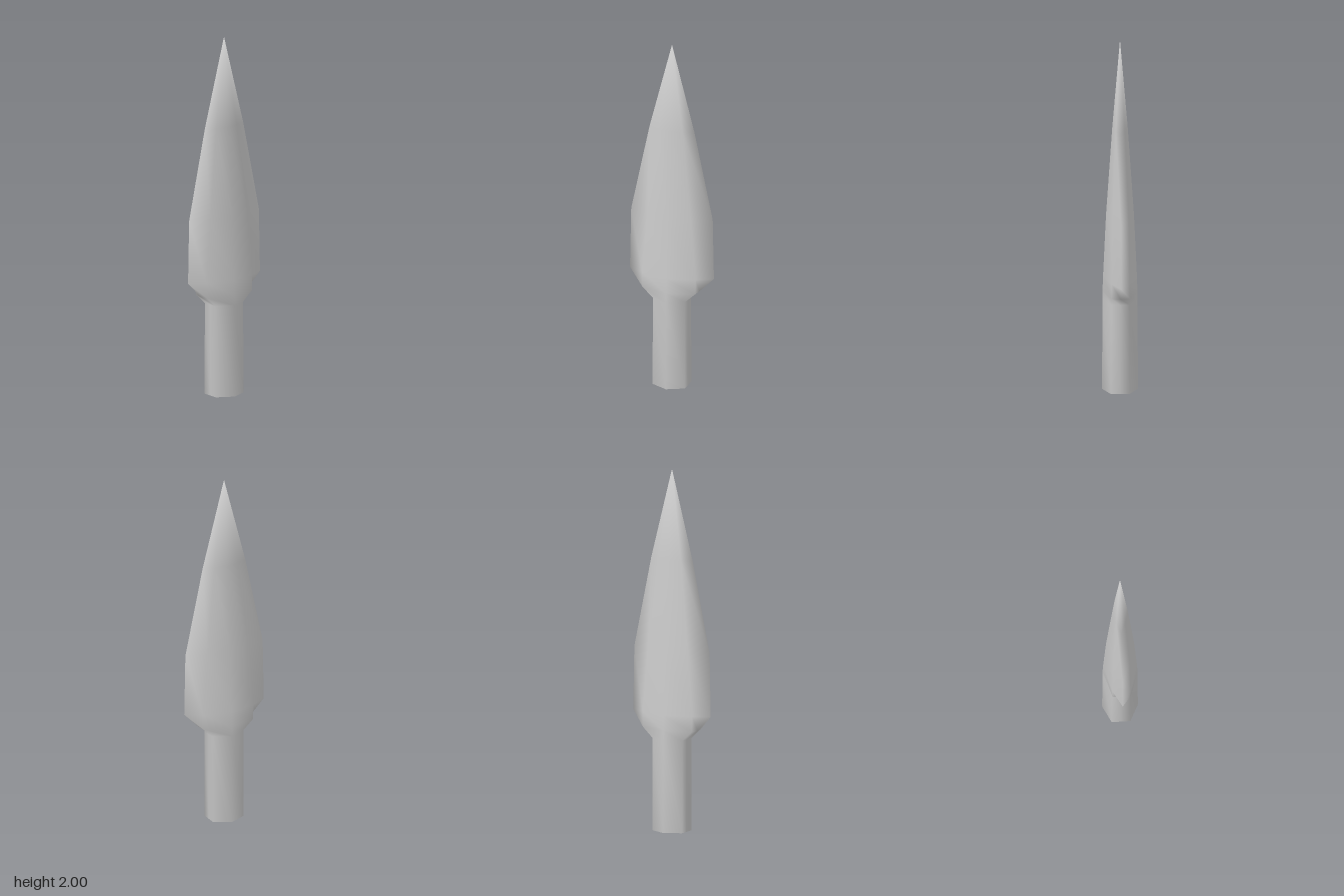
import * as THREE from 'three';

// Cross-sections from the socket base to the point:
// [y, half thickness, bevel x, bevel z, y of cutting edge, edge z]
const SECTIONS = [
  [0, 0.097, 0.051, 0.093, 0, 0.093],
  [0.51, 0.096, 0.05, 0.093, 0.51, 0.093],
  [0.565, 0.095, 0.05, 0.152, 0.565, 0.16],
  [0.65, 0.092, 0.049, 0.155, 0.65, 0.243],
  [1.0, 0.076, 0.045, 0.125, 1.0, 0.236],
  [1.5, 0.042, 0.024, 0.07, 1.5, 0.13],
];

// Eight-sided lens outline, running from +x towards +z
function ring([y, x, bx, bz, ey, ez]) {
  return [
    [x, y, 0], [bx, y, bz], [0, ey, ez], [-bx, y, bz],
    [-x, y, 0], [-bx, y, -bz], [0, ey, -ez], [bx, y, -bz],
  ];
}

function loft(sections, tipY) {
  const sides = 8;
  const points = sections.flatMap(ring);
  const base = points.push([0, sections[0][0], 0]) - 1;
  const tip = points.push([0, tipY, 0]) - 1;
  const last = (sections.length - 1) * sides;
  const index = [];
  for (let j = 0; j < sides; j++) {
    const k = (j + 1) % sides;
    // Side walls
    for (let r = 0; r < last; r += sides) {
      const a = r + j, b = r + k, c = a + sides, d = b + sides;
      index.push(a, c, d, a, d, b);
    }
    // Point and base cap
    index.push(last + j, tip, last + k);
    index.push(base, j, k);
  }
  const geometry = new THREE.BufferGeometry();
  geometry.setAttribute('position', new THREE.Float32BufferAttribute(points.flat(), 3));
  geometry.setIndex(index);
  geometry.computeVertexNormals();
  return geometry;
}

export function createModel() {
  const group = new THREE.Group();
  group.name = 'spearhead';
  // Blade and socket are one continuous smooth skin
  const material = new THREE.MeshStandardMaterial({ color: 0xcccccc });
  const blade = new THREE.Mesh(loft(SECTIONS, 2), material);
  blade.name = 'bladeAndSocket';
  group.add(blade);
  return group;
}
